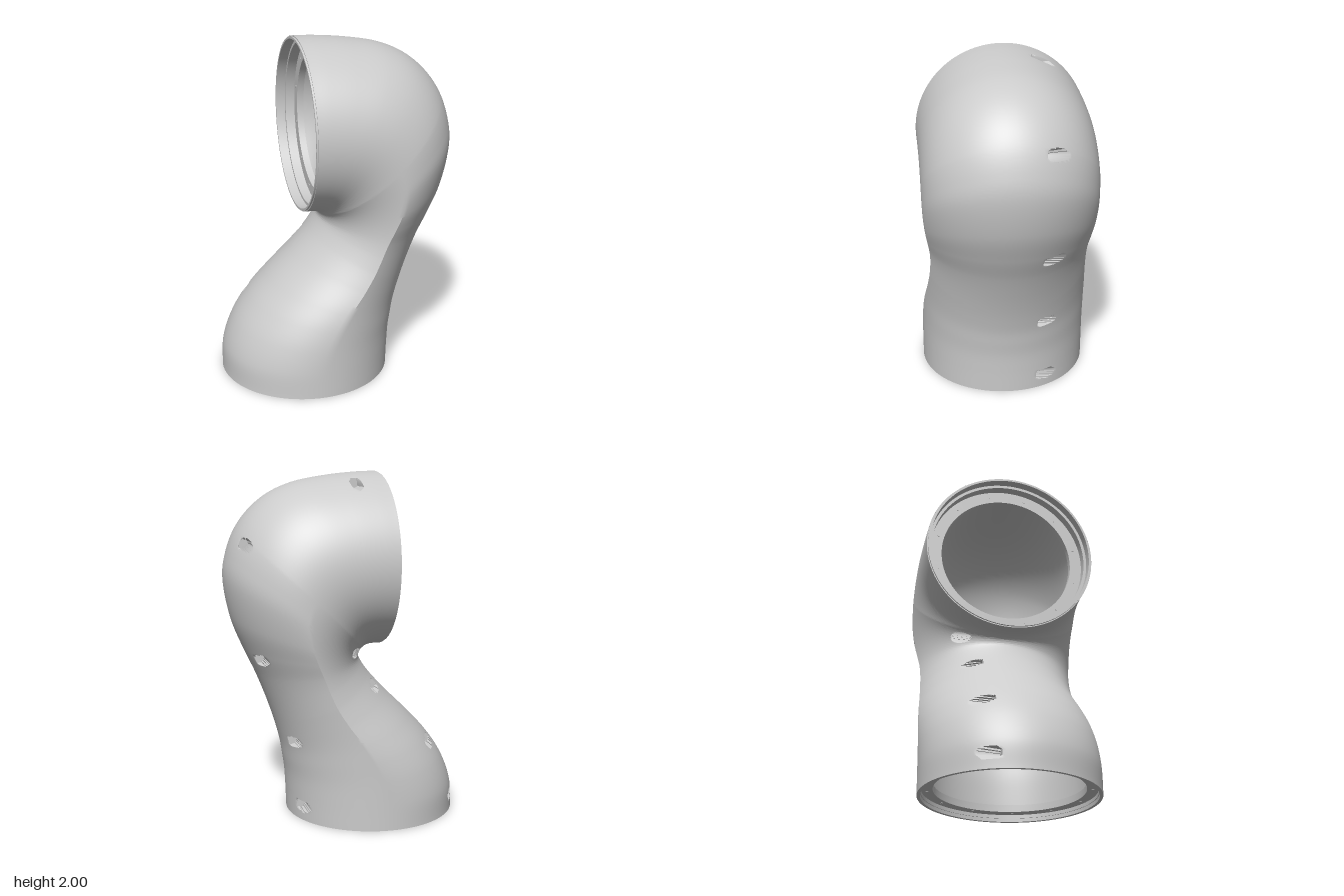
import * as THREE from 'three';
import { toCreasedNormals } from 'three/addons/utils/BufferGeometryUtils.js';

const material = new THREE.MeshStandardMaterial({ color: 0xcccccc, side: THREE.DoubleSide });

// Cross-sections from the base to the side opening: inner bend x, y, outer bend x, y
const SECTIONS = [
  [-0.68, 0, 0.32, 0],
  [-0.67, 0.16, 0.325, 0.14],
  [-0.61, 0.32, 0.332, 0.25],
  [-0.515, 0.46, 0.345, 0.34],
  [-0.4, 0.585, 0.358, 0.42],
  [-0.25, 0.735, 0.378, 0.5],
  [-0.15, 0.85, 0.405, 0.59],
  [-0.105, 0.92, 0.447, 0.71],
  [-0.095, 0.945, 0.503, 0.85],
  [-0.095, 0.955, 0.573, 1.0],
  [-0.097, 0.965, 0.642, 1.18],
  [-0.1, 0.972, 0.68, 1.42],
  [-0.105, 0.978, 0.66, 1.55],
  [-0.112, 0.983, 0.61, 1.68],
  [-0.12, 0.988, 0.53, 1.79],
  [-0.13, 0.993, 0.42, 1.88],
  [-0.145, 0.997, 0.28, 1.942],
  [-0.165, 1, 0.08, 1.98],
  [-0.19, 1, -0.1, 1.997],
  [-0.21, 1, -0.21, 2],
];
const innerBend = new THREE.CatmullRomCurve3(SECTIONS.map((s) => new THREE.Vector3(s[0], s[1], 0)));
const outerBend = new THREE.CatmullRomCurve3(SECTIONS.map((s) => new THREE.Vector3(s[2], s[3], 0)));

// Axes (x, y) of the screw pockets drilled in from the back
const POCKETS = [
  [0.59, 1.62], [0.51, 0.965], [0.325, 0.475], [0.275, 0.085], [-0.04, 1.94],
  [-0.63, 0.085], [-0.485, 0.425], [-0.155, 0.78], [-0.03, 0.99],
];

// Loft along the elbow, inset by a wall thickness. Each section joins two arcs of
// equal radius: a full circle at the ends, a lens with side creases at the neck.
function loft(t0, t1, rows, front, back, wall, flip, adjust) {
  const pos = [], index = [];
  const p = new THREE.Vector3();
  const cols = front + back, R = 0.5 - wall;
  for (let i = 0; i <= rows; i++) {
    const t = t0 + ((t1 - t0) * i) / rows;
    const a = innerBend.getPoint(t), b = outerBend.getPoint(t);
    const centre = a.clone().add(b).multiplyScalar(0.5);
    const dir = b.sub(a);
    const half = dir.length() / 2 - wall;
    dir.normalize();
    const stretch = Math.max(1, half / R);
    const h = half / stretch;
    const sweep = Math.acos(1 - h / R);
    for (let j = 0; j < cols; j++) {
      const q = Math.PI * (j < front ? j / front : 1 + (j - front) / back);
      const phi = (Math.asin(Math.min(1, Math.abs(Math.sin(q)))) / (Math.PI / 2)) * sweep;
      const u = Math.sign(Math.cos(q)) * stretch * (h - R + R * Math.cos(phi));
      const v = Math.sign(Math.sin(q)) * R * Math.sin(phi);
      adjust(p.copy(centre).addScaledVector(dir, u).setZ(v));
      pos.push(p.x, p.y, p.z);
      if (i === rows) continue;
      const n = (j + 1) % cols;
      const c = [i * cols + j, (i + 1) * cols + j, (i + 1) * cols + n, i * cols + n];
      if (flip) c.reverse();
      index.push(c[0], c[1], c[2], c[0], c[2], c[3]);
    }
  }
  const g = new THREE.BufferGeometry();
  g.setAttribute('position', new THREE.Float32BufferAttribute(pos, 3));
  g.setIndex(index);
  return toCreasedNormals(g, 0.6);
}

function addMesh(parent, name, geometry) {
  const mesh = new THREE.Mesh(geometry, material);
  mesh.name = name;
  parent.add(mesh);
  return mesh;
}

// Recessed mounting flange with a stepped wall and a ring of screws; it opens at y = 0
function makeFlange(name, lip, depth, seat, bore) {
  const flange = new THREE.Group();
  flange.name = name;
  const profile = [
    [0.5, lip], [0.494, lip], [0.494, 0], [0.482, 0], [0.482, depth / 2], [seat, depth / 2],
    [seat, depth], [bore, depth], [bore, depth + 0.04], [0.445, depth + 0.04],
  ].map(([r, y]) => new THREE.Vector2(r, y));
  addMesh(flange, 'flangeRing', toCreasedNormals(new THREE.LatheGeometry(profile, 96), 0.5));
  const screwGeometry = new THREE.CylinderGeometry(0.008, 0.008, 0.006, 12);
  for (let i = 0; i < 12; i++) {
    const q = ((i + 0.5) / 12) * Math.PI * 2, r = (bore + seat) / 2;
    addMesh(flange, 'flangeScrew', screwGeometry).position.set(r * Math.cos(q), depth, r * Math.sin(q));
  }
  return flange;
}

export function createModel() {
  const model = new THREE.Group();
  model.name = 'elbowHousing';

  // Outer skin, finer at the back where the screw pockets are pressed in to a flat floor
  addMesh(model, 'outerShell', loft(0, 1, 300, 60, 140, 0, false, (p) => {
    if (p.z < -0.15 && POCKETS.some(([x, y]) => Math.hypot(p.x - x, p.y - y) < 0.031)) p.z = -0.15;
  }));

  // Thin inner wall of the hollow housing, stopping behind the flanges
  addMesh(model, 'innerShell', loft(0.03, 0.96, 80, 36, 36, 0.055, true, (p) => {
    if (p.y > 1) p.x = Math.max(p.x, -0.08);
  }));

  // Base flange and side flange
  const base = makeFlange('baseFlange', 0, 0.04, 0.478, 0.415);
  base.position.x = -0.18;
  const side = makeFlange('sideFlange', 0.01, 0.11, 0.465, 0.395);
  side.position.set(-0.22, 1.5, 0);
  side.rotation.z = -Math.PI / 2;
  model.add(base, side);
  return model;
}
